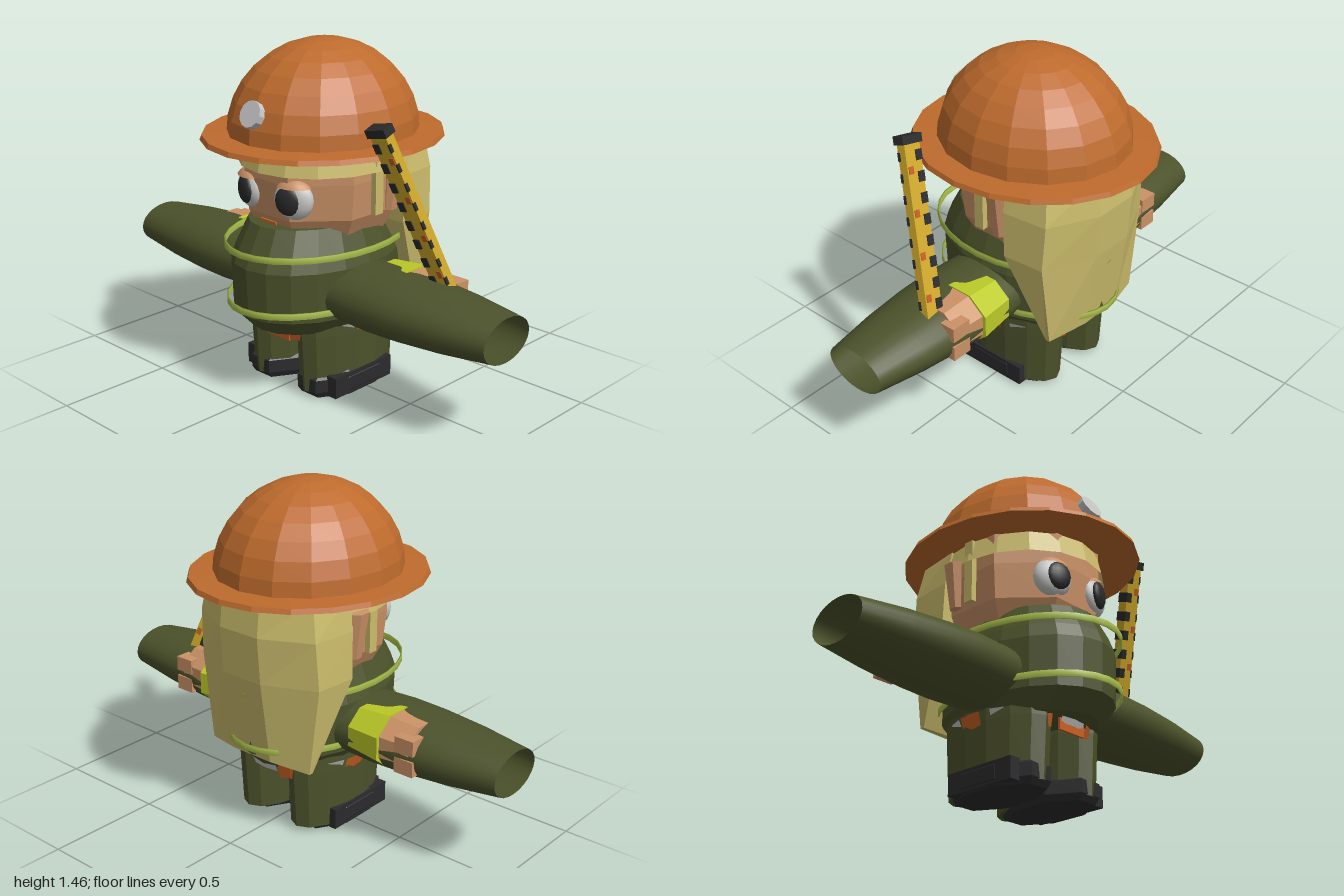
import * as THREE from 'three';

const mat = (name, color, side = THREE.FrontSide) => {
  const m = new THREE.MeshStandardMaterial({ color, side });
  m.name = name;
  return m;
};
const D = THREE.DoubleSide;
const M = {
  helmet: mat('helmet orange', 0xbe6b2d, D),
  hair: mat('blond hair', 0xcbbc6c, D),
  skin: mat('skin', 0xcb9266),
  green: mat('coat green', 0x4c522b, D),
  band: mat('reflective band', 0xa8bf4a, D),
  lime: mat('cuff lime', 0xbccb28, D),
  black: mat('black', 0x2b2b2d),
  grey: mat('light grey', 0xc6c7c5, D),
  yellow: mat('tool yellow', 0xd2aa2b),
  red: mat('red orange', 0xc75f22, D),
};

// Faceted normals
function flat(geo) {
  const g = geo.index ? geo.toNonIndexed() : geo;
  g.computeVertexNormals();
  return g;
}
function add(parent, name, geo, material, x = 0, y = 0, z = 0) {
  const m = new THREE.Mesh(geo, material);
  m.name = name;
  m.position.set(x, y, z);
  parent.add(m);
  return m;
}
// Elliptical lathe; points are [radius, y] from bottom to top
function lathe(pts, seg, sx, sz, start = 0, len = Math.PI * 2) {
  const g = new THREE.LatheGeometry(pts.map(p => new THREE.Vector2(...p)), seg, start, len);
  return g.scale(sx, 1, sz);
}
const box = (w, h, d) => new THREE.BoxGeometry(w, h, d);

// Closed loops of [x, y, z] joined from the top row to the bottom row
function loft(rows) {
  const n = rows[0].length, idx = [];
  for (let r = 0; r < rows.length - 1; r++)
    for (let i = 0; i < n; i++) {
      const a = r * n + i, b = r * n + (i + 1) % n;
      idx.push(a, a + n, b, b, a + n, b + n);
    }
  const last = (rows.length - 1) * n;
  for (let i = 1; i < n - 1; i++) idx.push(last, last + i + 1, last + i);
  const g = new THREE.BufferGeometry();
  g.setAttribute('position', new THREE.Float32BufferAttribute(rows.flat(2), 3));
  g.setIndex(idx);
  return flat(g);
}

function buildHelmet(root) {
  const dome = [];
  for (let i = 0; i <= 8; i++) {
    const a = i / 8 * Math.PI / 2;
    dome.push([Math.max(Math.cos(a), 0.0001), 1.075 + 0.39 * Math.sin(a)]);
  }
  add(root, 'helmetDome', flat(lathe(dome, 16, 0.38, 0.418)), M.helmet);
  add(root, 'helmetBrim', flat(lathe([[0.0001, 1.065], [1, 1.065], [0.985, 1.085], [0.75, 1.09]], 20, 0.48, 0.53)), M.helmet);
  const lamp = add(root, 'helmetLamp', flat(new THREE.CylinderGeometry(0.055, 0.055, 0.03, 12)), M.grey, 0, 1.21, 0.395);
  lamp.rotation.x = Math.PI / 2 - 0.42;
}

function buildHead(root) {
  const k = 1 / Math.cos(Math.PI / 8);
  add(root, 'head', flat(lathe([[0.78 * k, 0.68], [0.95 * k, 0.78], [k, 0.93], [k, 1.08]], 8, 0.3, 0.33, Math.PI / 8)), M.skin);
  for (const s of [-1, 1]) {
    // Eyes with pupils and upper lids
    const eye = new THREE.Group();
    eye.name = 'eye';
    eye.position.set(s * 0.125, 0.87, 0.295);
    eye.rotation.y = s * 0.35;
    root.add(eye);
    add(eye, 'eyeWhite', new THREE.SphereGeometry(1, 16, 10).scale(0.085, 0.083, 0.045), M.grey);
    add(eye, 'pupil', new THREE.SphereGeometry(1, 14, 8).scale(0.056, 0.06, 0.025), M.black, -s * 0.013, 0, 0.03);
    add(eye, 'eyelid', new THREE.SphereGeometry(1, 14, 4, 0, Math.PI * 2, 0, 0.95).scale(0.09, 0.09, 0.062), M.skin);
    // Ears
    const ear = add(root, 'ear', flat(new THREE.CylinderGeometry(0.05, 0.032, 0.2, 6).scale(0.6, 1, 1)), M.skin, s * 0.32, 0.89, -0.075);
    ear.rotation.z = -s * 0.1;
    // Sideburns
    add(root, 'sideburn', box(0.025, 0.3, 0.045), M.hair, s * 0.315, 0.94, 0.015);
  }
  add(root, 'mouth', box(0.09, 0.014, 0.008), M.helmet, 0, 0.755, 0.316);
  add(root, 'fringe', flat(lathe([[1.02, 0.97], [0.95, 1.08]], 10, 0.33, 0.365, -1.9, 3.8)), M.hair);
}

function buildHair(root) {
  // y, side x, front z, edge x, edge z, centre back z
  const rows = [
    [1.08, 0.31, -0.1, 0.28, -0.3, -0.405],
    [0.92, 0.33, -0.12, 0.31, -0.32, -0.425],
    [0.72, 0.335, -0.125, 0.32, -0.31, -0.41],
    [0.34, 0.27, -0.29, 0.27, -0.31, -0.36],
  ].map(([y, x, z, ex, ez, bz], i) => [
    [-x, y, z], [-ex, y, ez], [-0.1, y + (i === 3 ? 0.02 : 0), bz], [0.1, y + (i === 3 ? 0.02 : 0), bz], [ex, y, ez], [x, y, z],
  ].reverse());
  add(root, 'backHair', loft(rows), M.hair);
}

function buildBody(root) {
  const coat = [[0.0001, 0.295], [0.8, 0.295], [0.98, 0.37], [1, 0.58], [0.94, 0.64], [0.8, 0.745], [0.0001, 0.75]];
  add(root, 'coat', flat(lathe(coat, 20, 0.3, 0.41)), M.green, 0, 0, 0.035);
  for (const y of [0.41, 0.65]) {
    const ring = [[0.98, -0.013], [1, -0.013], [1, 0.013], [0.98, 0.013], [0.98, -0.013]];
    add(root, 'reflectiveBand', lathe(ring, 28, y > 0.5 ? 0.325 : 0.305, 0.438), M.band, 0, y, 0.037);
  }
  // Belt plates peeking out under the coat, alternating grey and red
  for (let i = 0; i < 12; i++) {
    const grey = i % 2 === 0;
    const plate = lathe([[0.97, grey ? 0.27 : 0.245], [1.05, 0.32]], 2, 0.265, 0.29, i * Math.PI / 6 - 0.24, grey ? 0.48 : 0.36);
    add(root, 'beltPlate', flat(plate), grey ? M.grey : M.red);
  }
  add(root, 'frontBeltTab', box(0.14, 0.05, 0.01), M.red, 0, 0.265, 0.272);
}

function buildLimbs(root) {
  for (const s of [-1, 1]) {
    // Wide open sleeve along x
    const sleeve = lathe([[0.95, 0.22], [1, 0.42], [0.97, 0.58], [0.87, 0.78], [0.69, 1]], 24, 0.132, 0.205);
    const arm = add(root, 'sleeve', sleeve, M.green, 0, 0.459, 0.05);
    arm.rotation.z = -s * Math.PI / 2;
    // Cuff and hand poking through the rear of the sleeve
    const cuff = add(root, 'cuff', flat(new THREE.CylinderGeometry(0.148, 0.13, 0.16, 8).rotateY(Math.PI / 8).scale(0.85, 1, 1.03)), M.lime, s * 0.415, 0.475, -0.025);
    cuff.rotation.z = -s * Math.PI / 2;
    const hand = add(root, 'hand', flat(new THREE.CylinderGeometry(0.122, 0.134, 0.15, 8).rotateY(Math.PI / 8).scale(0.88, 1, 1.05)), M.skin, s * 0.555, 0.478, -0.022);
    hand.rotation.z = -s * Math.PI / 2;
    for (const y of [0.43, 0.52])
      add(root, 'finger', box(0.09, 0.065, 0.07), M.skin, s * 0.615, y, -0.115);
    // Trouser leg and boot
    add(root, 'trouserLeg', flat(lathe([[0.0001, 0.025], [0.94, 0.025], [1, 0.28], [1, 0.36]], 14, 0.127, 0.263)), M.green, s * 0.138, 0, 0.005);
    const boot = lathe([[0.0001, 0.003], [0.97, 0.003], [1.06, 0.03], [1.06, 0.085], [0.9, 0.11]], 8, 0.13, 0.225, Math.PI / 8);
    add(root, 'boot', flat(boot), M.black, s * 0.141, 0, 0.025);
    add(root, 'bootSide', box(0.05, 0.09, 0.34), M.black, s * 0.241, 0.058, 0.03);
  }
}

function buildMeasuringBar(root) {
  const bar = new THREE.Group();
  bar.name = 'measuringBar';
  bar.position.set(0.585, 0.83, 0.08);
  const dir = new THREE.Vector3(-0.174, 0.77, 0.28).normalize();
  bar.quaternion.setFromUnitVectors(new THREE.Vector3(0, 1, 0), dir);
  root.add(bar);
  add(bar, 'barBody', box(0.08, 0.8, 0.042), M.yellow);
  for (const s of [-1, 1]) add(bar, 'barCap', box(0.1, 0.035, 0.055), M.black, 0, s * 0.405, 0);
  // Scale marks
  for (let i = 0; i < 9; i++) {
    const y = -0.34 + i * 0.085;
    add(bar, 'blackMark', box(0.032, 0.042, 0.05), M.black, -0.026, y, 0);
    add(bar, 'sideMark', box(0.008, 0.035, 0.014), M.black, 0.038, y, 0.016);
    if (i % 2) add(bar, 'redMark', box(0.024, 0.03, 0.048), M.red, 0.022, y + 0.03, 0);
  }
}

export function createModel() {
  const root = new THREE.Group();
  root.name = 'worker';
  buildHelmet(root);
  buildHead(root);
  buildHair(root);
  buildBody(root);
  buildLimbs(root);
  buildMeasuringBar(root);
  return root;
}
